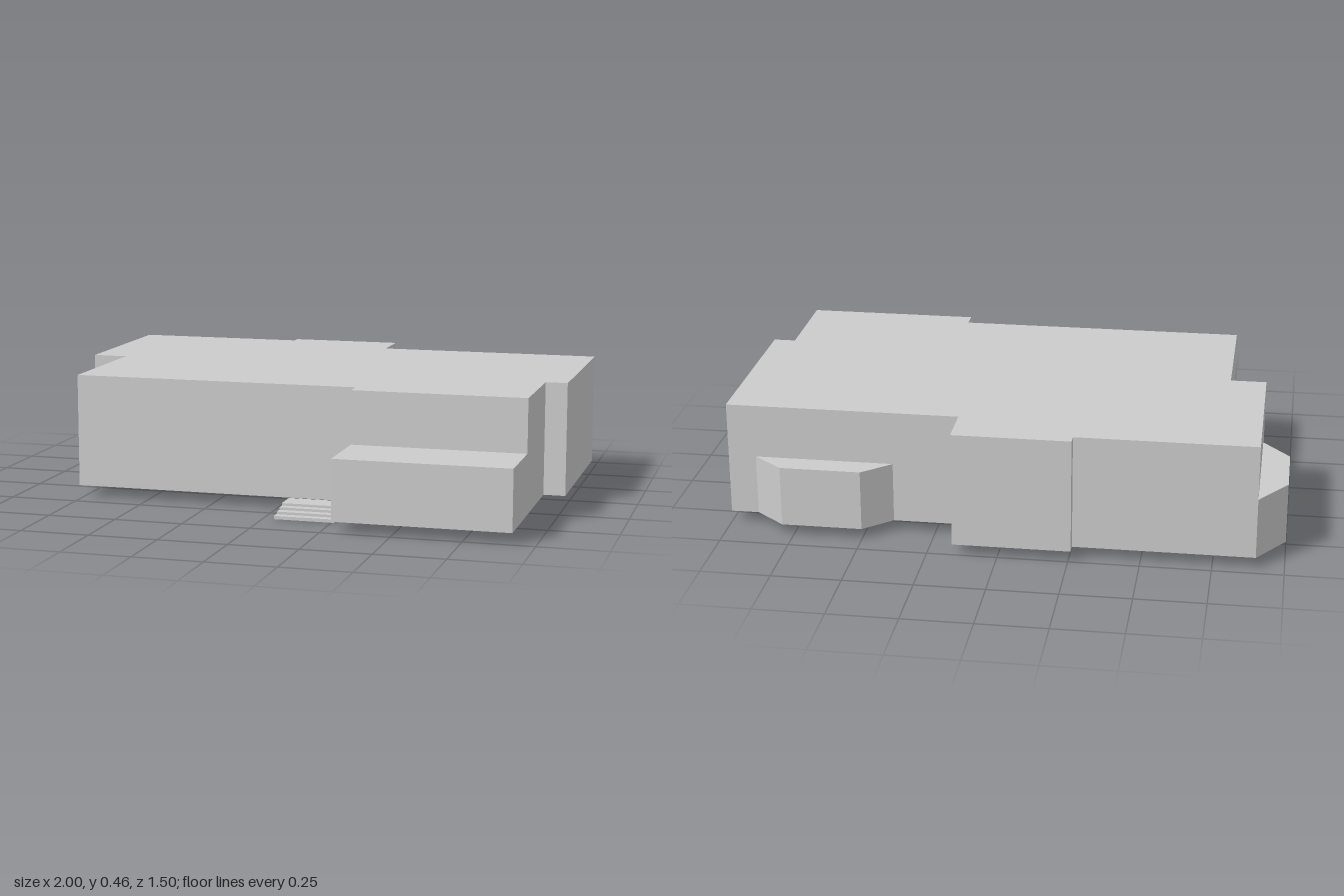
import * as THREE from 'three';

const grey = new THREE.MeshStandardMaterial({ color: 0xcccccc, flatShading: true });
const BASE = 0.04, FLOOR = 0.05, LOW = 0.26, ROOF = 0.455;

// Vertical prism from a plan outline given as [x, z] pairs
function prism(name, plan, y0, y1, slots = []) {
  const toPoints = (pts) => pts.map(([x, z]) => new THREE.Vector2(x, -z));
  const shape = new THREE.Shape(toPoints(plan));
  for (const [x0, z0, x1, z1] of slots) {
    shape.holes.push(new THREE.Path(toPoints([[x0, z0], [x1, z0], [x1, z1], [x0, z1]])));
  }
  const geo = new THREE.ExtrudeGeometry(shape, { depth: y1 - y0, bevelEnabled: false });
  geo.rotateX(-Math.PI / 2).translate(0, y0, 0);
  const mesh = new THREE.Mesh(geo, grey);
  mesh.name = name;
  return mesh;
}

const rect = (x0, z0, x1, z1) => [[x0, z0], [x1, z0], [x1, z1], [x0, z1]];

export function createModel() {
  const house = new THREE.Group();
  house.name = 'house';

  // Two-storey block with its stepped outline
  const mainPlan = [
    [-0.9, -0.71], [-0.26, -0.71], [-0.26, -0.75], [0.16, -0.75], [0.16, -0.58],
    [1, -0.58], [1, 0.11], [0.92, 0.11], [0.92, 0.475], [0.29, 0.475],
    [0.29, 0.41], [-0.77, 0.41], [-0.77, -0.09], [-0.9, -0.09],
  ];
  house.add(prism('mainBlock', mainPlan, FLOOR, ROOF));

  // Floor plate with grooves where the inner walls stand
  const wallGrooves = [
    [0.86, 0.08, 0.95, 0.1], [0.31, 0.09, 0.77, 0.11], [0.33, -0.29, 0.86, -0.27],
    [0.29, -0.25, 0.31, -0.11], [0.16, -0.1, 0.3, -0.08], [-0.26, -0.08, -0.24, 0.19],
    [-0.55, -0.11, -0.11, -0.09],
  ];
  house.add(prism('floorPlate', mainPlan, BASE, FLOOR, wallGrooves));

  // Single-storey front wing
  house.add(prism('frontWing', rect(0.29, 0.475, 0.92, 0.745), BASE, LOW));

  // Bay windows on the right side and at the back
  house.add(prism('sideBay', [[-0.9, -0.71], [-1, -0.565], [-1, -0.315], [-0.9, -0.195]], BASE, LOW));
  house.add(prism('backBay', [[0.4, -0.58], [0.5, -0.67], [0.79, -0.67], [0.9, -0.58]], BASE, LOW));

  // Slim door jamb beside the entrance
  house.add(prism('doorJamb', rect(0.215, 0.41, 0.22, 0.413), BASE, 0.22));

  // Entrance steps, each one shorter than the one below
  const steps = new THREE.Group();
  steps.name = 'entranceSteps';
  [0.592, 0.562, 0.53, 0.5].forEach((front, i) => {
    const y0 = i ? 0.012 + (i - 1) * 0.009 : 0;
    const inset = i ? 0.002 : 0;
    steps.add(prism('step', rect(0.04 + inset, 0.41, 0.26 - inset, front), y0, 0.012 + i * 0.009));
  });
  house.add(steps);

  return house;
}
